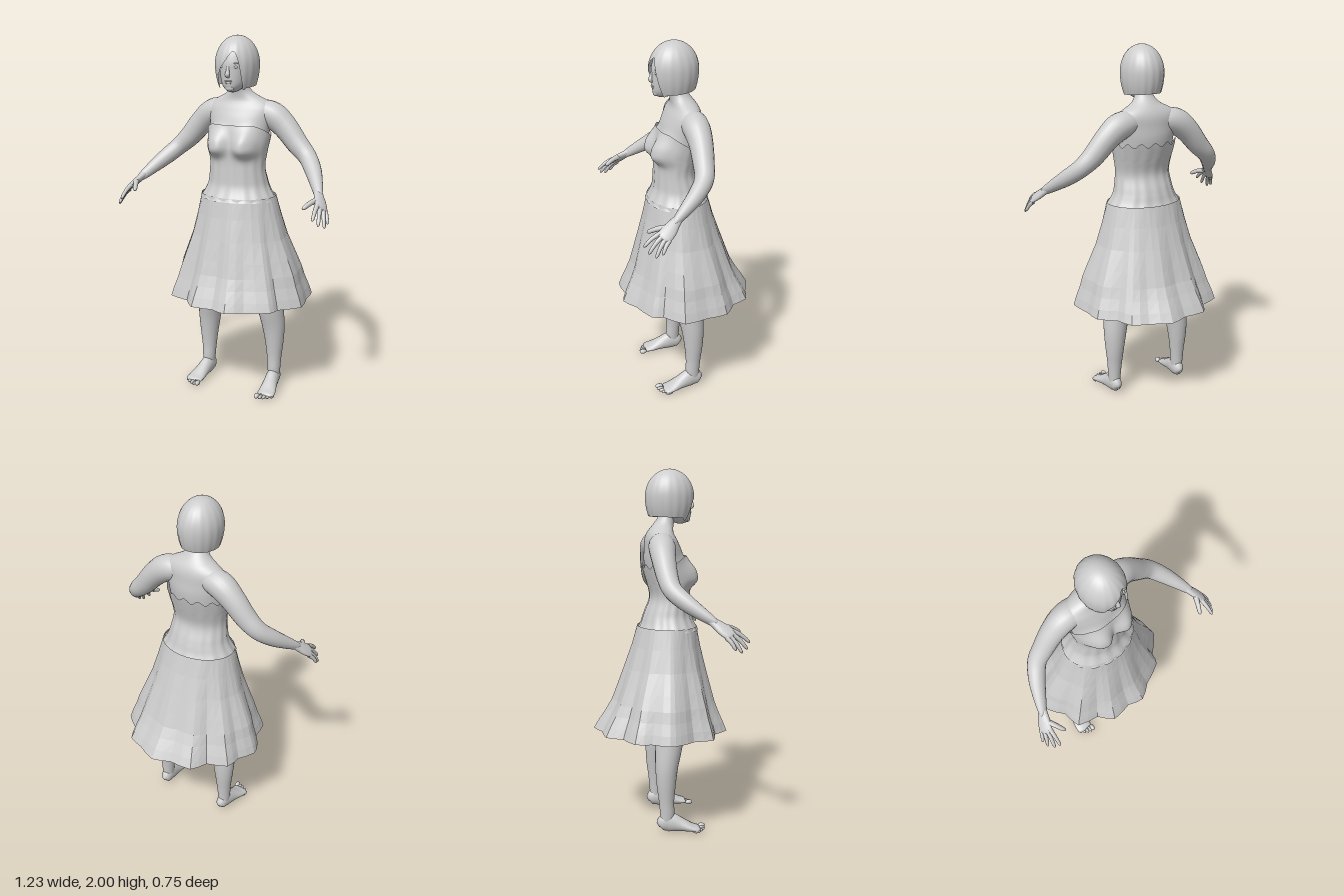
import * as THREE from 'three';

const cloth = new THREE.MeshStandardMaterial({ color: 0xcccccc, side: THREE.DoubleSide });
cloth.name = 'light grey';

// Catmull-Rom blend of number rows at index position k
function blend(rows, k) {
  const n = rows.length - 1;
  const i = Math.min(Math.floor(k), n - 1), f = k - i;
  const r = (j) => rows[Math.max(0, Math.min(n, j))];
  return rows[0].map((_, c) => {
    const a = r(i - 1)[c], b = r(i)[c], d = r(i + 1)[c], e = r(i + 2)[c];
    return b + 0.5 * f * (d - a + f * (2 * a - 5 * b + 4 * d - e + f * (3 * (b - d) + e - a)));
  });
}

// Blend of rows whose first column rises, looked up by that column
function at(rows, y) {
  let i = 0;
  while (i < rows.length - 2 && y > rows[i + 1][0]) i++;
  const f = (y - rows[i][0]) / (rows[i + 1][0] - rows[i][0]);
  return blend(rows, i + Math.max(0, Math.min(1, f)));
}

// Closed-around surface from f(angle 0..2PI, v 0..1) -> [x, y, z]
function surface(nu, nv, f) {
  const pos = [], idx = [];
  for (let j = 0; j <= nv; j++)
    for (let i = 0; i < nu; i++) pos.push(...f((i / nu) * Math.PI * 2, j / nv));
  for (let j = 0; j < nv; j++)
    for (let i = 0; i < nu; i++) {
      const a = j * nu + i, b = j * nu + ((i + 1) % nu);
      idx.push(a, b, b + nu, a, b + nu, a + nu);
    }
  const g = new THREE.BufferGeometry();
  g.setAttribute('position', new THREE.Float32BufferAttribute(pos, 3));
  g.setIndex(idx);
  g.computeVertexNormals();
  return g;
}

// Limb through rows [x, y, z, width radius, depth radius]; ref is the width direction
function limb(rows, ref, nu = 20, steps = 5) {
  const n = rows.length - 1, axis = new THREE.Vector3(...ref);
  return surface(nu, n * steps, (u, v) => {
    const k = v * n, p = blend(rows, k);
    const q0 = blend(rows, Math.max(0, k - 0.05)), q1 = blend(rows, Math.min(n, k + 0.05));
    const t = new THREE.Vector3(q1[0] - q0[0], q1[1] - q0[1], q1[2] - q0[2]).normalize();
    const w = axis.clone().addScaledVector(t, -axis.dot(t)).normalize();
    const d = new THREE.Vector3().crossVectors(t, w);
    return new THREE.Vector3(p[0], p[1], p[2])
      .addScaledVector(w, Math.cos(u) * p[3])
      .addScaledVector(d, Math.sin(u) * p[4]).toArray();
  });
}

// Rows [y, centre z, half width, half depth]
const TORSO = [
  [0.8, 0.04, 0.1, 0.09], [0.87, 0.04, 0.19, 0.13], [1.0, 0.04, 0.195, 0.14],
  [1.14, 0.04, 0.18, 0.132], [1.2, 0.037, 0.166, 0.125], [1.3, 0.05, 0.152, 0.105],
  [1.4, 0.037, 0.162, 0.113], [1.5, 0.02, 0.17, 0.112], [1.57, 0.01, 0.182, 0.1],
  [1.62, 0.0, 0.186, 0.087], [1.655, -0.003, 0.15, 0.072], [1.69, 0.01, 0.082, 0.06],
  [1.73, 0.03, 0.052, 0.05], [1.79, 0.05, 0.05, 0.05],
];
const HEAD = [
  [1.703, 0.11, 0.004, 0.006], [1.712, 0.108, 0.03, 0.036], [1.73, 0.1, 0.049, 0.062],
  [1.76, 0.085, 0.068, 0.083], [1.82, 0.07, 0.083, 0.1], [1.87, 0.062, 0.09, 0.106],
  [1.93, 0.055, 0.075, 0.09], [1.97, 0.05, 0.03, 0.04],
];

// Body skin with the bust swelling, pushed out by off
function bodyPoint(u, y, off) {
  const [, cz, rx, rz] = at(TORSO, y);
  const x = Math.sin(u) * (rx + off);
  let z = cz + Math.cos(u) * (rz + off);
  if (Math.cos(u) > 0) {
    const bx = (Math.abs(x) - 0.088) / 0.068, by = (y - 1.415) / (y < 1.415 ? 0.055 : 0.085);
    const d = bx * bx + by * by;
    z += 0.056 * Math.exp(-Math.pow(d, 1.4)) * Math.min(1, Math.cos(u) * 3);
  }
  return [x, y, z];
}

// Hem height of the bob by angle from the front: [angle, y]
const HAIR_HEM = [
  [-3.15, 1.745], [-1.0, 1.735], [-0.78, 1.72], [-0.62, 1.77], [-0.45, 1.82], [-0.1, 1.87],
  [0.28, 1.92], [0.5, 1.88], [0.74, 1.75], [0.8, 1.72], [1.0, 1.73], [3.15, 1.745],
];
function hairPoint(u, v) {
  const a = u > Math.PI ? u - 2 * Math.PI : u;
  const y = 2 - (2 - at(HAIR_HEM, a)[1]) * v * v;
  const r = y > 1.85 ? 0.116 * Math.sqrt(Math.max(0, 1 - ((y - 1.85) / 0.15) ** 2))
    : 0.116 - 0.021 * ((1.85 - y) / 0.12) ** 2;
  const s = r * (1 + 0.01 * v * Math.sin(a * 17));
  return [Math.sin(a) * s, y, 0.05 + Math.cos(a) * s * 1.16];
}

// Hem outline of the skirt [x, z]
const HEM = [
  [0.04, -0.38], [0.16, -0.33], [0.25, -0.3], [0.29, -0.21], [0.38, -0.14], [0.39, -0.03],
  [0.412, 0.11], [0.31, 0.205], [0.29, 0.265], [0.16, 0.32], [0.07, 0.375], [-0.02, 0.345],
  [-0.14, 0.355], [-0.21, 0.275], [-0.33, 0.24], [-0.345, 0.13], [-0.4, 0.05], [-0.415, -0.01],
  [-0.365, -0.1], [-0.35, -0.19], [-0.24, -0.24], [-0.19, -0.33], [-0.06, -0.34],
];
// Spread of the skirt by height [y, at the sides, at front and back]
const SPREAD = [
  [1.14, 0, 0], [1.03, 0.15, 0.13], [0.91, 0.33, 0.3], [0.8, 0.57, 0.46],
  [0.72, 0.74, 0.58], [0.66, 0.82, 0.72], [0.6, 0.93, 0.88], [0.55, 1, 1],
];

function skirtGeometry() {
  const n = HEM.length;
  const g = surface(n * 2, SPREAD.length - 1, (u, v) => {
    const k = Math.round((u / (2 * Math.PI)) * n * 2), i = (k >> 1) % n;
    const p = HEM[i], q = HEM[(i + 1) % n], m = k % 2;
    // every second column lies halfway along a pleat
    const hx = m ? (p[0] + q[0]) / 2 : p[0], hz = m ? (p[1] + q[1]) / 2 : p[1];
    const a = Math.atan2(hx / 0.41, (hz - 0.02) / 0.375);
    const [y, side, front] = SPREAD[Math.round(v * (SPREAD.length - 1))];
    const t = side + (front - side) * Math.cos(a) ** 2;
    const fold = 1 + (m ? 0.012 : 0) * Math.sin(Math.PI * t * 0.6);
    const wx = Math.sin(a) * 0.215, wz = 0.035 + Math.cos(a) * 0.165;
    return [(wx + (hx - wx) * t) * fold, y, (wz + (hz - wz) * t) * fold];
  }).toNonIndexed();
  g.computeVertexNormals();
  return g;
}

export function createModel() {
  const model = new THREE.Group();
  const add = (name, geometry, parent = model) => {
    const m = new THREE.Mesh(geometry, cloth);
    m.name = name;
    parent.add(m);
    return m;
  };
  const blob = (name, x, y, z, sx, sy, sz, parent) => {
    const m = add(name, new THREE.SphereGeometry(1, 16, 12), parent);
    m.position.set(x, y, z);
    m.scale.set(sx, sy, sz);
  };

  // Torso and strapless bodice, flaring out to the skirt's waist
  add('torso', surface(56, 70, (u, v) => bodyPoint(u, 0.8 + v * 0.99, 0)));
  add('bodice', surface(96, 36, (u, v) => {
    const front = Math.max(0, Math.cos(u));
    const top = 1.475 + 0.055 * Math.min(1, front * 1.3) + (front ? 0 : 0.012 * Math.cos(u * 14));
    const y = 1.12 + v * (top - 1.12);
    const flare = 0.028 * Math.max(0, (1.22 - y) / 0.1) ** 2;
    const rim = 0.008 * Math.max(0, v * 4 - 3);
    return bodyPoint(u, y, 0.007 + flare + rim + 0.003 * Math.sin(u * 16) * (1 - v));
  }));
  add('skirt', skirtGeometry());

  // Head, face and bobbed hair
  const head = new THREE.Group();
  head.name = 'head';
  model.add(head);
  add('face', surface(40, 40, (u, v) => {
    const [y, cz, rx, rz] = at(HEAD, 1.703 + v * 0.267);
    return [Math.sin(u) * rx, y, cz + Math.cos(u) * rz];
  }), head);
  add('nose', limb([[0, 1.85, 0.163, 0.007, 0.007], [0, 1.82, 0.172, 0.009, 0.01],
    [0, 1.8, 0.177, 0.014, 0.011], [0, 1.788, 0.166, 0.008, 0.006]], [1, 0, 0], 12), head);
  blob('upperLip', 0, 1.767, 0.166, 0.023, 0.005, 0.007, head);
  blob('lowerLip', 0, 1.757, 0.163, 0.019, 0.006, 0.007, head);
  blob('chin', 0, 1.73, 0.148, 0.026, 0.018, 0.016, head);
  for (const s of [1, -1]) {
    blob('eye', s * 0.036, 1.84, 0.155, 0.014, 0.007, 0.008, head);
    blob('brow', s * 0.038, 1.859, 0.156, 0.02, 0.004, 0.008, head);
  }
  add('hair', surface(120, 32, hairPoint), head);

  for (const s of [1, -1]) {
    const side = s > 0 ? 'left' : 'right';
    const part = (name, rows, ref, nu) =>
      add(side + name, limb(rows.map((r) => [s * r[0], ...r.slice(1)]), [s * ref[0], ref[1], ref[2]], nu));

    // Arm, rooted inside the chest so the shoulder runs smoothly
    part('Arm', [
      [0.03, 1.595, -0.005, 0.04, 0.045], [0.11, 1.592, -0.012, 0.066, 0.068], [0.18, 1.574, -0.018, 0.074, 0.072],
      [0.25, 1.518, -0.02, 0.067, 0.064], [0.325, 1.432, -0.012, 0.059, 0.056], [0.39, 1.37, 0.006, 0.05, 0.05],
      [0.445, 1.313, 0.065, 0.045, 0.044], [0.49, 1.262, 0.135, 0.035, 0.033], [0.52, 1.225, 0.188, 0.026, 0.022],
      [0.53, 1.212, 0.205, 0.02, 0.012],
    ], [0.7, 0.7, 0]);

    // Hand: palm, four fingers, thumb
    const across = [0.5, -0.4, -0.77];
    part('Palm', [
      [0.512, 1.235, 0.172, 0.022, 0.019], [0.53, 1.212, 0.205, 0.03, 0.019],
      [0.552, 1.185, 0.24, 0.039, 0.017], [0.57, 1.162, 0.272, 0.035, 0.012], [0.574, 1.156, 0.28, 0.004, 0.003],
    ], across, 16);
    const fingers = [
      [[0.549, 1.182, 0.28], [0.557, 1.12, 0.37]], [[0.562, 1.17, 0.274], [0.582, 1.09, 0.352]],
      [[0.573, 1.158, 0.262], [0.604, 1.075, 0.32]], [[0.58, 1.15, 0.245], [0.61, 1.09, 0.287]],
      [[0.54, 1.2, 0.235], [0.49, 1.165, 0.335]],
    ];
    fingers.forEach(([a, b], i) => {
      const thick = i === 4 ? 1.3 : 1;
      const rows = [[0, 0.013], [0.5, 0.0105], [0.9, 0.008], [1, 0.001]].map(([t, r]) => [
        ...a.map((c, k) => c + (b[k] - c) * t + (k === 1 ? 0.008 * Math.sin(Math.PI * t) : 0)), r * thick, r * thick]);
      part(i === 4 ? 'Thumb' : 'Finger', rows, across, 10);
    });

    // Leg
    part('Leg', [
      [0.1, 1.0, 0.035, 0.09, 0.11], [0.135, 0.82, 0.035, 0.1, 0.104], [0.166, 0.65, 0.028, 0.086, 0.09],
      [0.188, 0.5, 0.018, 0.075, 0.077], [0.203, 0.38, 0.004, 0.066, 0.064], [0.209, 0.28, 0.0, 0.054, 0.054],
      [0.21, 0.18, 0.002, 0.042, 0.043], [0.211, 0.1, 0.006, 0.036, 0.04], [0.211, 0.04, 0.002, 0.03, 0.036],
    ], [1, 0, 0], 24);

    // Foot and toes
    part('Foot', [
      [0.209, 0.036, -0.044, 0.006, 0.01], [0.209, 0.044, -0.03, 0.028, 0.038], [0.211, 0.056, 0.015, 0.036, 0.056],
      [0.218, 0.04, 0.08, 0.041, 0.039], [0.226, 0.023, 0.14, 0.049, 0.022], [0.23, 0.016, 0.178, 0.046, 0.014],
      [0.23, 0.014, 0.186, 0.01, 0.004],
    ], [1, 0, 0], 20);
    for (let i = 0; i < 5; i++) {
      const x = 0.189 + i * 0.0195, z = 0.214 - i * i * 0.0025, r = i ? 0.0095 : 0.014;
      blob(side + 'Toe', s * x, r + 0.001, z - 0.01, r, r, 0.022);
    }
  }
  return model;
}
